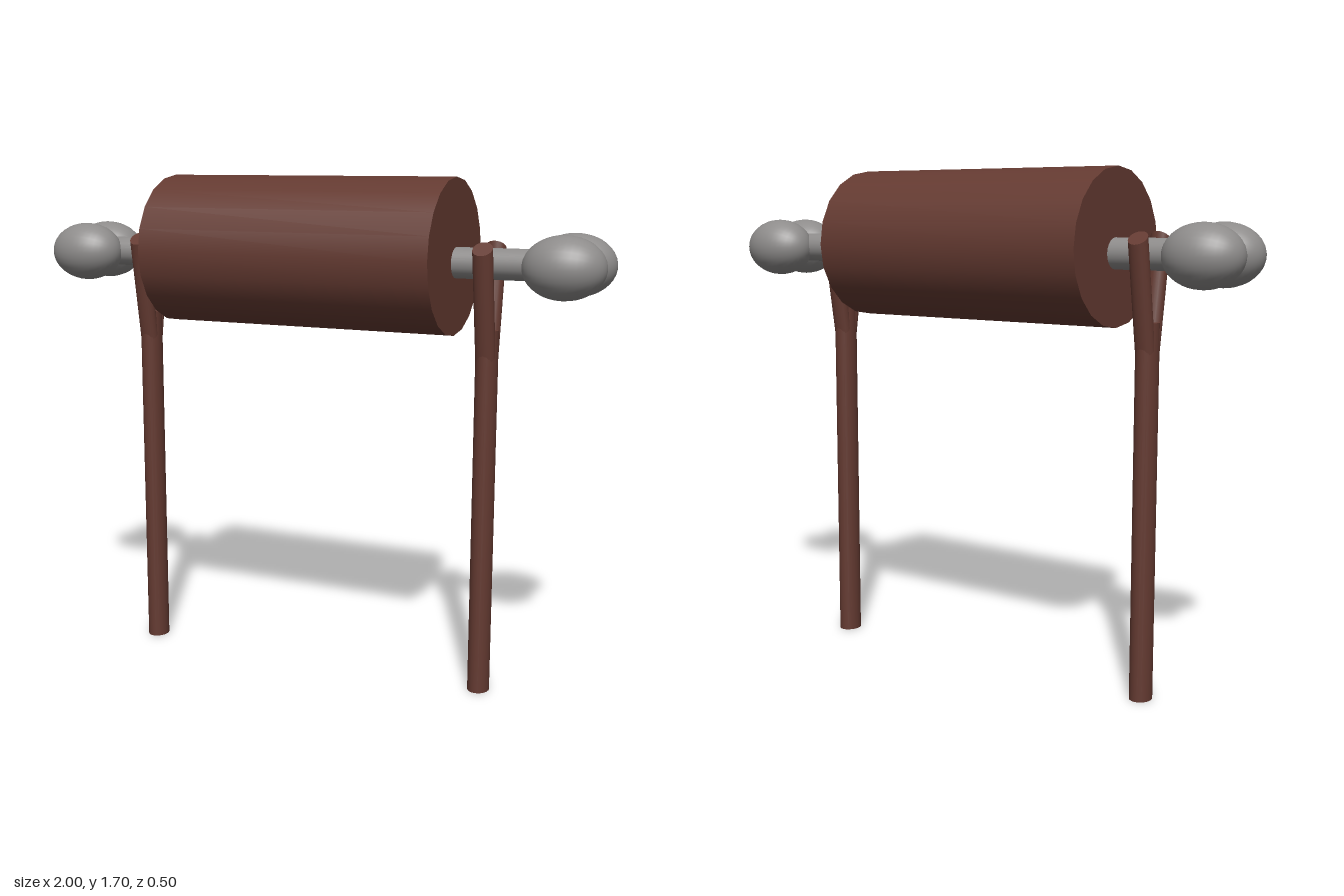
import * as THREE from 'three';

export function createModel() {
  const group = new THREE.Group();
  const wood = new THREE.MeshStandardMaterial({ color: 0x643a31 });
  wood.name = 'brown';
  const bone = new THREE.MeshStandardMaterial({ color: 0x8e8c8b });
  bone.name = 'grey';

  const add = (name, geometry, material, x, y, z) => {
    const mesh = new THREE.Mesh(geometry, material);
    mesh.name = name;
    mesh.position.set(x, y, z);
    group.add(mesh);
    return mesh;
  };

  const axisZ = -0.01; // the spit and its supports sit slightly behind centre

  // Roasting drum
  add('drum', new THREE.CylinderGeometry(0.252, 0.252, 1.03, 20).rotateZ(Math.PI / 2),
    wood, -0.015, 1.443, 0);

  // Bone spit through the drum
  add('spitRod', new THREE.CylinderGeometry(0.05, 0.05, 1.64, 20).rotateZ(Math.PI / 2),
    bone, 0, 1.425, axisZ);

  // A pair of oval knobs on each end of the bone
  const knob = new THREE.SphereGeometry(1, 32, 20).rotateZ(Math.PI / 2).scale(0.131, 0.1, 0.1);
  for (const side of [-1, 1]) {
    for (const dz of [-0.066, 0.066]) {
      add('boneKnob', knob, bone, side * 0.869, 1.425, axisZ + dz);
    }
  }

  // Forked supports: an oval post with two slanted prongs
  const post = new THREE.CylinderGeometry(1, 1, 1.215, 20).scale(0.036, 1, 0.042);
  const prong = (dir) => {
    const length = 0.345;
    // sheared cylinder: leaning axis, cap sloping outward
    const shear = new THREE.Matrix4().makeBasis(
      new THREE.Vector3(0.033, 0, 0),
      new THREE.Vector3(0, length, dir * 0.16 * length),
      new THREE.Vector3(0, -dir * 0.02, 0.023));
    return new THREE.CylinderGeometry(1, 1, 1, 20).applyMatrix4(shear);
  };
  for (const x of [-0.65, 0.61]) {
    add('supportPost', post, wood, x, 1.215 / 2, axisZ);
    for (const dir of [-1, 1]) {
      add('supportProng', prong(dir), wood, x, 1.3025, axisZ + dir * 0.0425);
    }
  }

  return group;
}
